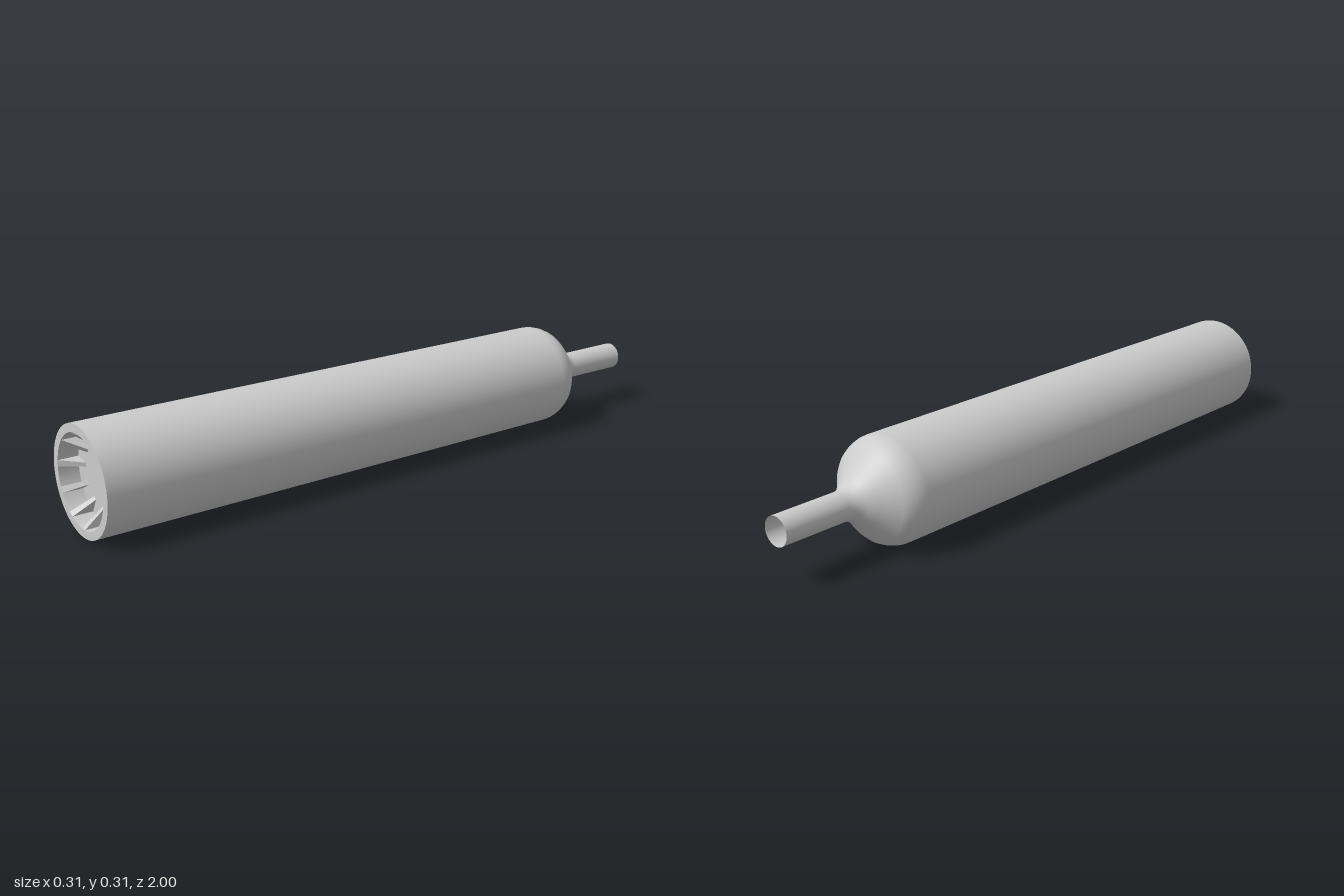
import * as THREE from 'three';

const R = 0.157, BORE = 0.133, DEPTH = 0.06, SEGS = 96;

export function createModel() {
  const model = new THREE.Group();
  model.name = 'taperedTube';
  const axis = new THREE.Group();
  axis.name = 'tubeAssembly';
  axis.position.y = R;
  model.add(axis);

  const smooth = new THREE.MeshStandardMaterial({ color: 0xcccccc, side: THREE.DoubleSide });
  const flat = new THREE.MeshStandardMaterial({ color: 0xcccccc, side: THREE.DoubleSide, flatShading: true });

  const add = (name, geometry, material = smooth) => {
    const mesh = new THREE.Mesh(geometry, material);
    mesh.name = name;
    axis.add(mesh);
    return mesh;
  };
  // Revolve [radius, z] pairs about the long axis
  const revolve = (pairs) =>
    new THREE.LatheGeometry(pairs.map(([r, z]) => new THREE.Vector2(r, z)), SEGS).rotateX(Math.PI / 2);

  // Thin outer shell: open rear pipe, curved shoulder, long barrel
  add('outerShell', revolve([
    [0.042, -1], [0.042, -0.79], [0.044, -0.775], [0.05, -0.76], [0.062, -0.745],
    [0.1, -0.707], [0.13, -0.682], [0.142, -0.668], [0.151, -0.65], [0.156, -0.632],
    [R, -0.615], [R, 1],
  ]));

  // Front rim and shallow recess
  add('frontRim', new THREE.RingGeometry(BORE, R, SEGS)).position.z = 1;
  add('recessWall', revolve([[BORE, 1], [BORE, 1 - DEPTH]]));
  add('recessFloor', new THREE.CircleGeometry(BORE, SEGS)).position.z = 1 - DEPTH;

  // Sloped wedge fin: full height at the wall, running down to the floor
  const wo = 0.009, wi = 0.006, ri = 0.087, zf = 1, zb = 1 - DEPTH;
  const fin = new THREE.BufferGeometry();
  fin.setAttribute('position', new THREE.Float32BufferAttribute([
    BORE, -wo, zf, BORE, wo, zf, ri, -wi, zb, ri, wi, zb, BORE, -wo, zb, BORE, wo, zb,
  ], 3));
  fin.setIndex([0, 1, 3, 0, 3, 2, 0, 2, 4, 1, 5, 3]);
  fin.computeVertexNormals();

  // Eleven fins stepped 32 degrees from the lowest one
  for (let i = 0; i < 11; i++) {
    add('recessFin', fin, flat).rotation.z = THREE.MathUtils.degToRad(270 - 32 * i);
  }
  return model;
}
